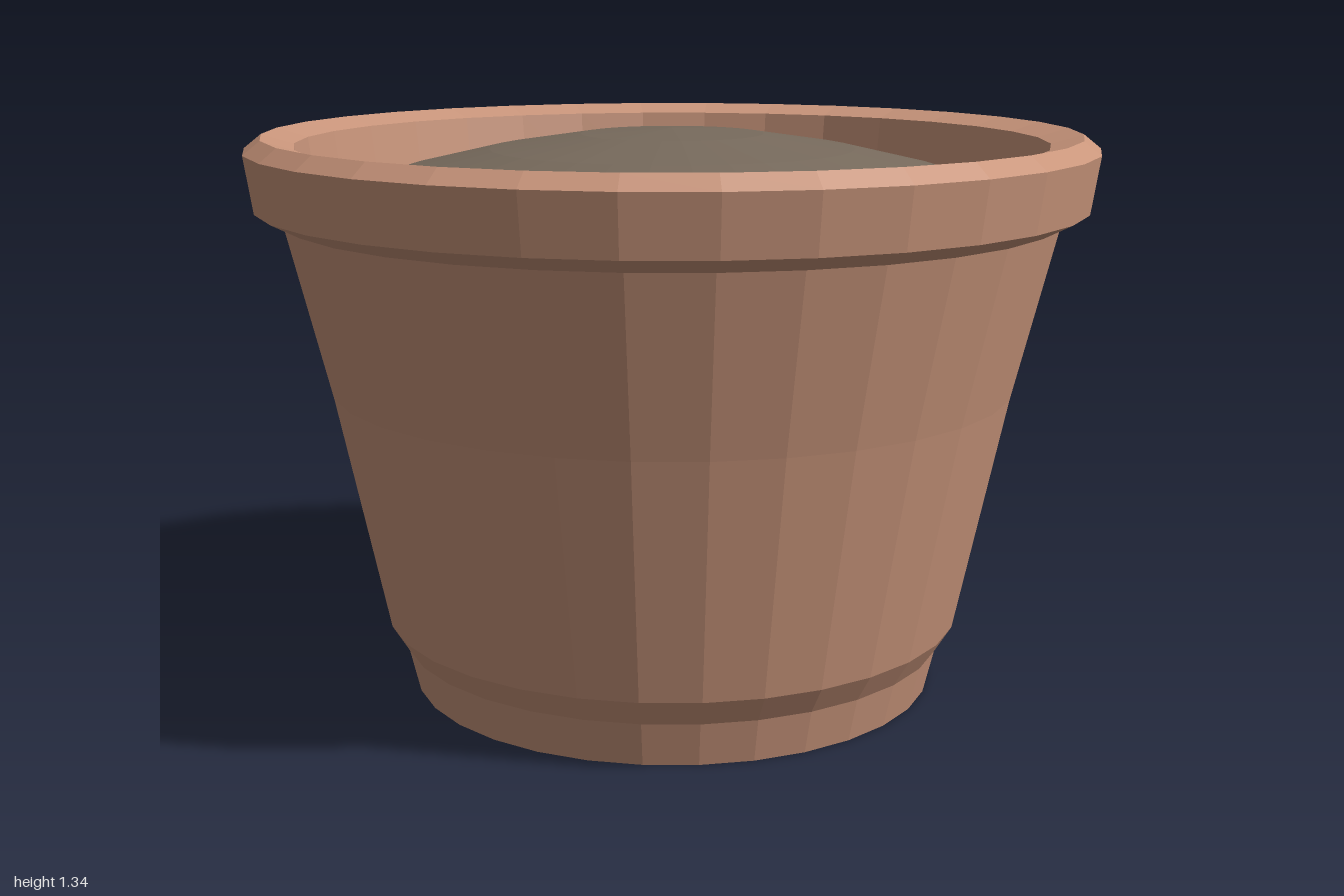
import * as THREE from 'three';

const SIDES = 32;

// Revolve a [radius, height] profile, listed so that the outside faces outwards
function turned(name, profile, material) {
  const points = profile.map(([r, y]) => new THREE.Vector2(r, y));
  const mesh = new THREE.Mesh(new THREE.LatheGeometry(points, SIDES), material);
  mesh.name = name;
  return mesh;
}

export function createModel() {
  const terracotta = new THREE.MeshStandardMaterial({ color: 0xc9957b, flatShading: true });
  terracotta.name = 'terracotta';
  const earth = new THREE.MeshStandardMaterial({ color: 0x776a5c, flatShading: true });
  earth.name = 'soil';

  const pot = new THREE.Group();
  pot.name = 'flowerPot';

  // Base disc, narrow foot and flaring wall
  pot.add(turned('potBody', [
    [0, 0], [0.635, 0], [0.66, 0.105], [0.7, 0.17], [0.817, 0.735], [0.915, 1.137],
  ], terracotta));

  // Overhanging collar with a bevelled lip, running down inside past the soil
  pot.add(turned('rim', [
    [0.915, 1.137], [0.98, 1.17], [1, 1.303], [0.96, 1.335],
    [0.885, 1.313], [0.863, 1.15],
  ], terracotta));

  // Gently domed soil
  const dome = [];
  const radius = 0.866, rings = 4;
  for (let i = rings; i >= 0; i--) {
    const t = i / rings;
    dome.push([radius * t, 1.343 - 0.163 * t ** 1.8]);
  }
  pot.add(turned('soil', dome, earth));

  return pot;
}
